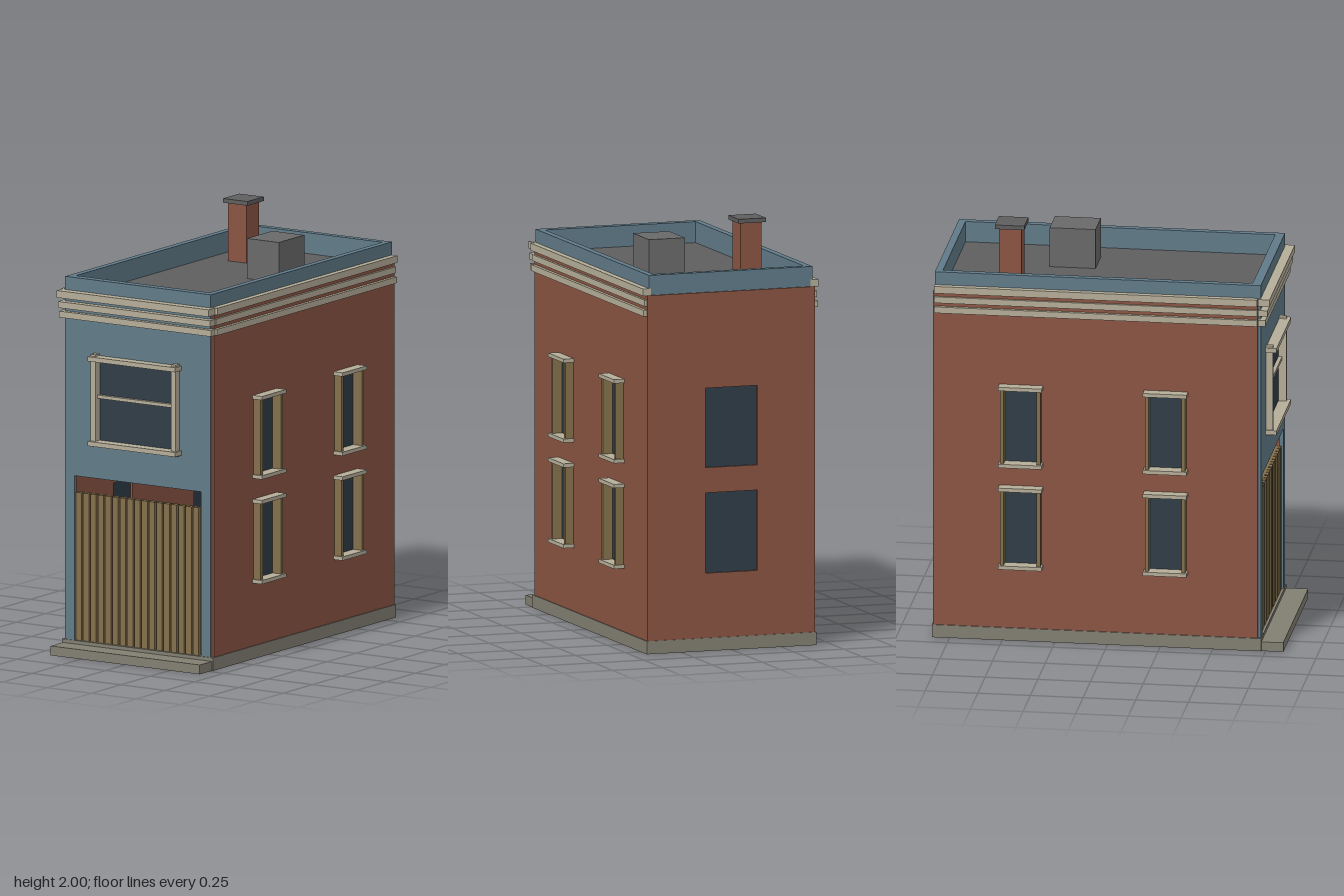
import * as THREE from 'three';

const paint = (name, color) => {
  const m = new THREE.MeshStandardMaterial({ color });
  m.name = name;
  return m;
};

export function createModel() {
  const brick = paint('brick red', 0x8a5442);
  const blue = paint('facade blue', 0x607a88);
  const stone = paint('pale stone', 0xb5ad99);
  const wood = paint('tan wood', 0x846f4b);
  const glass = paint('dark glass', 0x2f3c47);
  const roofGrey = paint('roof grey', 0x5e5e5e);
  const ventGrey = paint('vent grey', 0x696969);
  const concrete = paint('concrete', 0x827e72);

  const model = new THREE.Group();
  model.name = 'townhouse';

  // Box given by its extents on each axis
  const box = (name, mat, [x0, x1], [y0, y1], [z0, z1], parent = model) => {
    const m = new THREE.Mesh(new THREE.BoxGeometry(x1 - x0, y1 - y0, z1 - z0), mat);
    m.position.set((x0 + x1) / 2, (y0 + y1) / 2, (z0 + z1) / 2);
    m.name = name;
    parent.add(m);
    return m;
  };

  // Upright wall from an outline, with rectangular holes [u0, u1, y0, y1]
  const wall = (name, mat, outline, holes, depth) => {
    const toPath = (pts) => pts.map(([u, y]) => new THREE.Vector2(u, y));
    const shape = new THREE.Shape(toPath(outline));
    for (const [a, b, c, d] of holes) {
      shape.holes.push(new THREE.Path(toPath([[a, c], [a, d], [b, d], [b, c]])));
    }
    const m = new THREE.Mesh(new THREE.ExtrudeGeometry(shape, { depth, bevelEnabled: false }), mat);
    m.name = name;
    model.add(m);
    return m;
  };
  const rect = (a, b, c, d) => [[a, c], [b, c], [b, d], [a, d]];

  // Foundation and front step
  box('foundation', concrete, [-0.425, 0.425], [0, 0.062], [-0.834, 0.73]);
  box('frontStep', concrete, [-0.42, 0.42], [0, 0.045], [0.73, 0.834]);

  // Hollow brick shell
  const floors = [[0.37, 0.752], [0.872, 1.25]];
  const bays = [0.278, -0.41];
  const sideHoles = [];
  for (const z of bays) for (const [b, t] of floors) sideHoles.push([z - 0.08, z + 0.08, b, t]);
  for (const s of [1, -1]) {
    const w = wall('sideWall', brick, rect(-0.8, 0.712, 0.062, 1.705), sideHoles, 0.04);
    w.rotation.y = -Math.PI / 2;
    w.position.x = s > 0 ? 0.42 : -0.38;
  }
  const backHoles = floors.map(([b, t]) => [-0.13, 0.13, b, t]);
  wall('backWall', brick, rect(-0.42, 0.42, 0.062, 1.705), backHoles, 0.03).position.z = -0.83;
  for (const [b, t] of floors) box('backWindowGlass', glass, [-0.13, 0.13], [b, t], [-0.82, -0.805]);

  // Side windows: glass, jambs, lintel and sill, on both sides
  for (const s of [1, -1]) {
    const span = (a, b) => (s > 0 ? [a, b] : [-b, -a]);
    for (const z of bays) {
      for (const [b, t] of floors) {
        const win = new THREE.Group();
        win.name = 'sideWindow';
        model.add(win);
        box('glass', glass, span(0.39, 0.412), [b, t], [z - 0.08, z + 0.08], win);
        for (const k of [-1, 1]) {
          const c = z + k * 0.087;
          box('jamb', wood, span(0.405, 0.46), [b, t], [c - 0.009, c + 0.009], win);
        }
        box('lintel', stone, span(0.405, 0.472), [t - 0.005, t + 0.013], [z - 0.104, z + 0.104], win);
        box('sill', stone, span(0.405, 0.472), [b - 0.007, b + 0.011], [z - 0.104, z + 0.104], win);
      }
    }
  }

  // Blue facade with the doorway cut out of its lower edge
  wall('facade', blue, [
    [-0.41, 0.062], [-0.357, 0.062], [-0.357, 0.85], [0.355, 0.85],
    [0.355, 0.062], [0.41, 0.062], [0.41, 1.8], [-0.41, 1.8],
  ], [[-0.22, 0.215, 1.03, 1.425]], 0.018).position.z = 0.708;

  // Front window
  const front = new THREE.Group();
  front.name = 'frontWindow';
  model.add(front);
  box('glass', glass, [-0.22, 0.215], [1.03, 1.425], [0.71, 0.722], front);
  for (const x of [-0.23, 0.223]) box('jamb', stone, [x - 0.013, x + 0.013], [1.008, 1.45], [0.715, 0.76], front);
  for (const y of [1.43, 1.024]) box('lintelOrSill', stone, [-0.25, 0.245], [y - 0.011, y + 0.011], [0.715, 0.778], front);
  box('middleRail', stone, [-0.22, 0.213], [1.238, 1.254], [0.715, 0.74], front);

  // Plank door
  const door = new THREE.Group();
  door.name = 'plankDoor';
  model.add(door);
  box('doorBacking', wood, [-0.355, 0.345], [0.062, 0.77], [0.69, 0.702], door);
  for (let i = 0; i < 17; i++) {
    const x = -0.355 + i * 0.0413;
    box('plank', wood, [x, x + 0.032], [0.062, 0.77], [0.702, 0.718], door);
  }

  // Cornice bands on the front and both sides
  const bands = [[1.605, 1.635, 0.437, 0.75], [1.653, 1.683, 0.432, 0.76], [1.703, 1.737, 0.44, 0.77]];
  for (const [b, t, x, z] of bands) {
    box('frontCornice', stone, [-0.428, 0.428], [b, t], [0.715, z]);
    box('leftCornice', stone, [0.4, x], [b, t], [-0.822, 0.712]);
    box('rightCornice', stone, [-x, -0.4], [b, t], [-0.822, 0.712]);
  }

  // Roof deck and parapet
  box('roofDeck', roofGrey, [-0.38, 0.38], [1.66, 1.7], [-0.8, 0.7]);
  box('leftParapet', blue, [0.377, 0.41], [1.69, 1.8], [-0.822, 0.708]);
  box('rightParapet', blue, [-0.41, -0.377], [1.69, 1.8], [-0.822, 0.708]);
  box('backParapet', blue, [-0.377, 0.377], [1.69, 1.8], [-0.822, -0.787]);
  box('frontParapet', blue, [-0.377, 0.377], [1.69, 1.8], [0.683, 0.708]);

  // Chimney and roof vent
  box('chimney', brick, [-0.257, -0.153], [1.69, 1.98], [-0.539, -0.433]);
  box('chimneyCap', roofGrey, [-0.275, -0.137], [1.98, 2.0], [-0.556, -0.416]);
  box('roofVent', ventGrey, [0.053, 0.233], [1.69, 1.892], [-0.342, -0.124]);

  return model;
}
